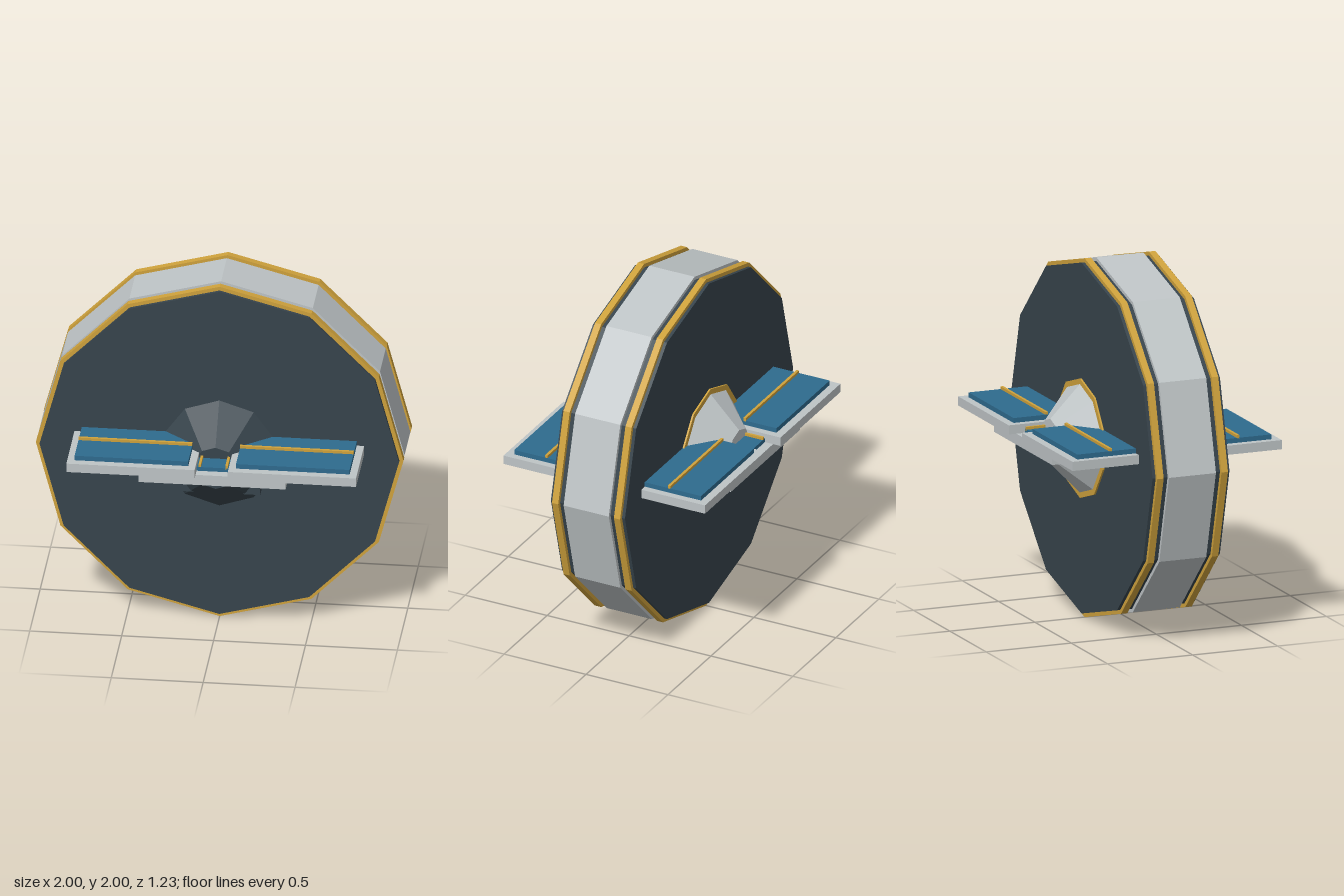
import * as THREE from 'three';

const mat = (name, color) => {
  const m = new THREE.MeshStandardMaterial({ color, flatShading: true });
  m.name = name;
  return m;
};

export function createModel() {
  const silver = mat('silver', 0xbec4c6);
  const dark = mat('dark slate', 0x37444c);
  const gold = mat('gold', 0xcfa23c);
  const blue = mat('blue', 0x2e6b8e);

  const model = new THREE.Group();
  model.name = 'stationWheel';

  const add = (parent, name, geometry, material) => {
    const mesh = new THREE.Mesh(geometry, material);
    mesh.name = name;
    parent.add(mesh);
    return mesh;
  };

  // Box given by its limits on each axis
  const box = (parent, name, material, x0, x1, y0, y1, z0, z1) => {
    const g = new THREE.BoxGeometry(x1 - x0, y1 - y0, z1 - z0);
    g.translate((x0 + x1) / 2, (y0 + y1) / 2, (z0 + z1) / 2);
    return add(parent, name, g, material);
  };

  // Faceted drum along z from z0 to z1, with a corner pointing up
  const drum = (parent, name, material, r0, r1, z0, z1, sides) => {
    const g = new THREE.CylinderGeometry(r1, r0, Math.abs(z1 - z0), sides);
    g.rotateX(z1 > z0 ? Math.PI / 2 : -Math.PI / 2);
    g.translate(0, 1, (z0 + z1) / 2);
    return add(parent, name, g, material);
  };

  // Twelve-sided wheel: dark core, silver rim and two gold bands
  const wheel = new THREE.Group();
  wheel.name = 'wheel';
  model.add(wheel);
  drum(wheel, 'core', dark, 0.978, 0.978, -0.226, 0.226, 12);
  drum(wheel, 'rim', silver, 0.998, 0.998, -0.138, 0.138, 12);
  for (const s of [-1, 1]) {
    drum(wheel, 'goldBand', gold, 1, 1, s * 0.17, s * 0.208, 12);
  }

  // Front hub: dark cone with a block whose lower corners poke out
  drum(model, 'frontHub', dark, 0.325, 0.125, 0.22, 0.41, 10);
  box(model, 'frontHubBlock', dark, -0.23, 0.23, 0.79, 0.98, 0.2, 0.29);

  // Back hub: silver cone on a gold collar
  drum(model, 'backHubCollar', gold, 0.333, 0.333, -0.22, -0.236, 10);
  drum(model, 'backHub', silver, 0.308, 0.125, -0.23, -0.41, 10);

  // Docking platforms on both faces of the wheel
  for (const s of [-1, 1]) {
    const deck = new THREE.Group();
    deck.name = s > 0 ? 'frontDeck' : 'backDeck';
    model.add(deck);
    const slab = (name, m, x0, x1, y0, y1, za, zb) =>
      box(deck, name, m, x0, x1, y0, y1, Math.min(s * za, s * zb), Math.max(s * za, s * zb));

    // Lower step with its blue walkway
    slab('lowerDeck', silver, -0.4, 0.4, 0.976, 1.037, 0.2, 0.57);
    slab('walkway', blue, -0.09, 0.09, 1.03, 1.06, 0.2, 0.52);

    for (const side of [-1, 1]) {
      const wide = (name, m, xa, xb, ...rest) =>
        slab(name, m, Math.min(side * xa, side * xb), Math.max(side * xa, side * xb), ...rest);
      // Gold walkway edge, then wing, panel and stripe
      wide('walkwayEdge', gold, 0.066, 0.08, 1.05, 1.075, 0.2, 0.52);
      wide('wing', silver, 0.09, 0.788, 1.037, 1.088, 0.2, 0.615);
      wide('wingPanel', blue, 0.13, 0.748, 1.08, 1.115, 0.2, 0.57);
      wide('wingStripe', gold, 0.13, 0.748, 1.11, 1.13, 0.367, 0.383);
    }
  }

  return model;
}
